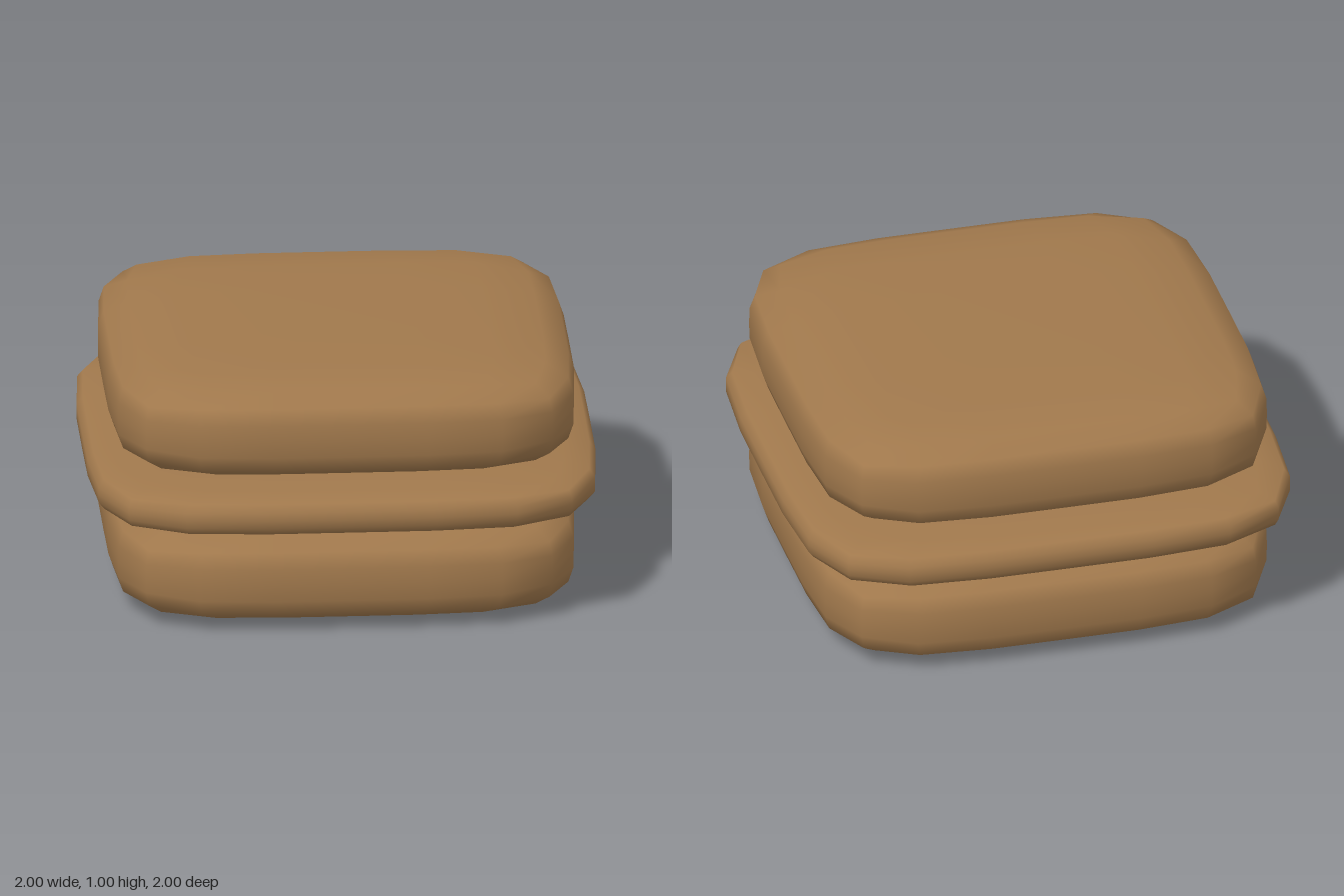
import * as THREE from 'three';
import { mergeVertices } from 'three/addons/utils/BufferGeometryUtils.js';

// Pillow shape: a segmented cube pushed onto a superellipsoid, then scaled
function pillow(halfWidth, halfHeight) {
  const box = new THREE.BoxGeometry(2, 2, 2, 6, 6, 6);
  box.deleteAttribute('uv');
  box.deleteAttribute('normal');
  const geometry = mergeVertices(box);
  geometry.clearGroups();
  const pos = geometry.attributes.position;
  const v = new THREE.Vector3();
  for (let i = 0; i < pos.count; i++) {
    v.fromBufferAttribute(pos, i);
    const norm = Math.abs(v.x) ** 5 + Math.abs(v.y) ** 5 + Math.abs(v.z) ** 5;
    v.multiplyScalar(norm ** -0.2);
    pos.setXYZ(i, v.x * halfWidth, v.y * halfHeight, v.z * halfWidth);
  }
  geometry.computeVertexNormals();
  return geometry;
}

export function createModel() {
  const model = new THREE.Group();
  model.name = 'layeredStack';
  const brown = new THREE.MeshStandardMaterial({ color: 0xa0784c });
  brown.name = 'warm brown';

  // Two thick slabs with a wider, thin layer between them
  const layers = [
    ['bottomSlab', 0.917, 0.2, 0.202],
    ['middleLayer', 1, 0.095, 0.502],
    ['topSlab', 0.917, 0.2, 0.8],
  ];
  for (const [name, halfWidth, halfHeight, y] of layers) {
    const mesh = new THREE.Mesh(pillow(halfWidth, halfHeight), brown);
    mesh.name = name;
    mesh.position.y = y;
    model.add(mesh);
  }
  return model;
}
